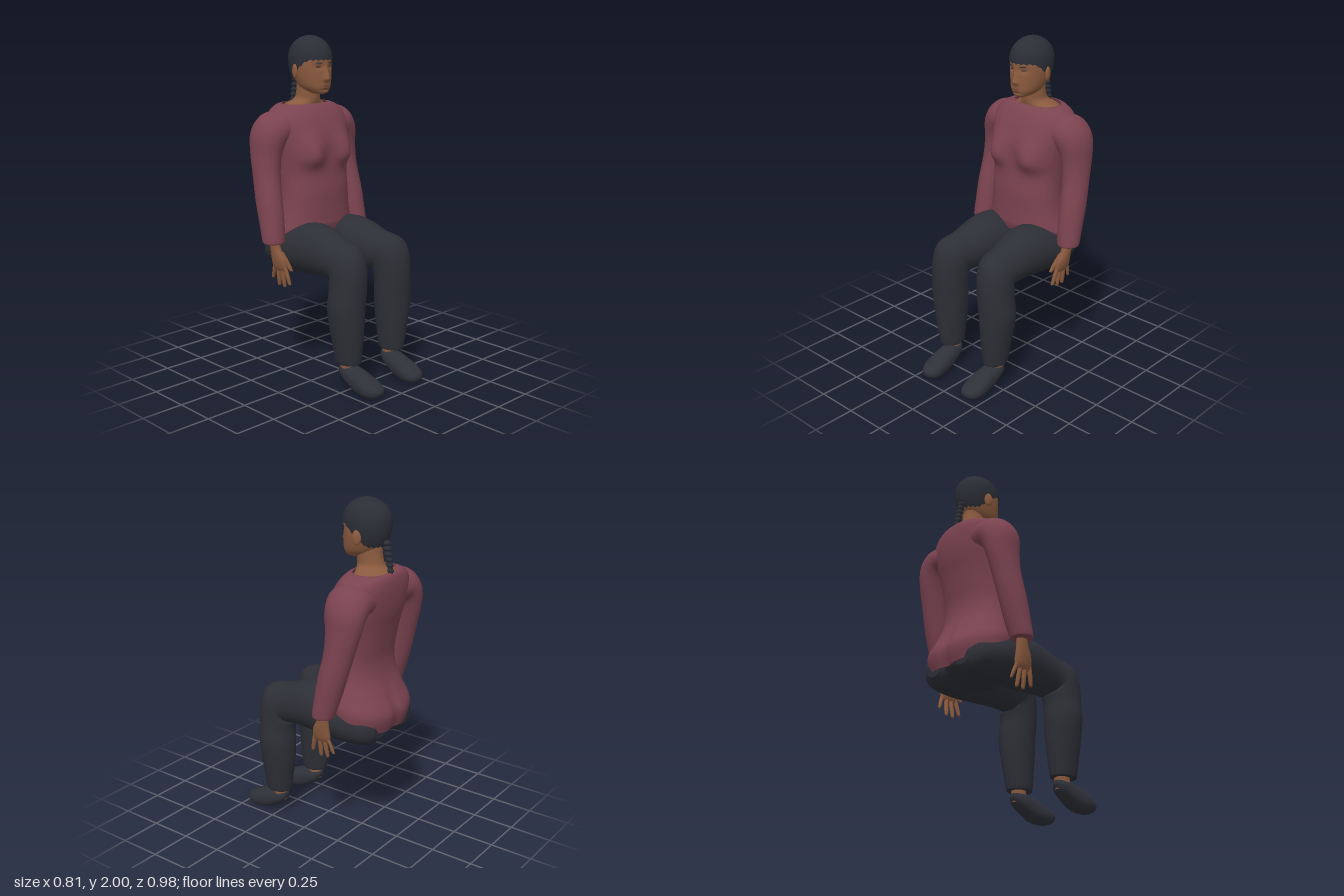
import * as THREE from 'three';

const mat = (name, color, side = THREE.FrontSide) => {
  const m = new THREE.MeshStandardMaterial({ color, side });
  m.name = name;
  return m;
};

// Smooth value of a list of rows at position f (Catmull-Rom)
function sample(rows, f) {
  const i = Math.min(Math.floor(f), rows.length - 2), t = f - i;
  const at = k => rows[Math.max(0, Math.min(rows.length - 1, k))];
  const [a, b, c, d] = [at(i - 1), at(i), at(i + 1), at(i + 2)];
  return b.map((v, k) => v + 0.5 * t * (c[k] - a[k] + t * (2 * a[k] - 5 * v + 4 * c[k] - d[k]
    + t * (3 * (v - c[k]) + d[k] - a[k]))));
}

// Skin over rings [x, y, z, radiusU, radiusV, pitch, roll]; pitch 90 is a level ring
function loft(rings, { seg = 32, sub = 5, n = 2, caps = [true, true], mod } = {}) {
  const rows = rings.map(r => [...r.slice(0, 5), r[5] ?? 90, r[6] ?? 0]);
  const count = (rows.length - 1) * sub, pos = [], idx = [];
  const pw = v => Math.sign(v) * Math.pow(Math.abs(v), 2 / n);
  for (let i = 0; i <= count; i++) {
    const [x, y, z, ru, rv, pd, rd] = sample(rows, i / sub);
    const p = pd * Math.PI / 180, r = rd * Math.PI / 180;
    for (let j = 0; j < seg; j++) {
      const t = j / seg * Math.PI * 2, u = pw(Math.cos(t)) * ru, v = pw(Math.sin(t)) * rv;
      const q = new THREE.Vector3(x + Math.cos(r) * u, y + Math.sin(r) * u + Math.cos(p) * v, z + Math.sin(p) * v);
      if (mod) mod(q, i / count, t);
      pos.push(q.x, q.y, q.z);
      if (i < count) {
        const a = i * seg + j, b = i * seg + (j + 1) % seg;
        idx.push(a, b, a + seg, b, b + seg, a + seg);
      }
    }
  }
  caps.forEach((on, end) => {
    if (!on) return;
    const from = end ? count * seg : 0, base = pos.length / 3, c = [0, 0, 0];
    for (let j = 0; j < seg; j++) for (let k = 0; k < 3; k++) {
      const v = pos[(from + j) * 3 + k];
      pos.push(v);
      c[k] += v / seg;
    }
    pos.push(...c);
    for (let j = 0; j < seg; j++) {
      const a = base + j, b = base + (j + 1) % seg;
      idx.push(base + seg, end ? a : b, end ? b : a);
    }
  });
  const g = new THREE.BufferGeometry();
  g.setAttribute('position', new THREE.Float32BufferAttribute(pos, 3));
  g.setIndex(idx);
  g.computeVertexNormals();
  return g;
}

function mirrored(geo) {
  const g = geo.clone().scale(-1, 1, 1), ix = g.index.array;
  for (let i = 0; i < ix.length; i += 3) [ix[i], ix[i + 1]] = [ix[i + 1], ix[i]];
  g.computeVertexNormals();
  return g;
}

const blob = (x, y, z, rx, ry, rz, yaw = 0) =>
  new THREE.SphereGeometry(1, 24, 16).scale(rx, ry, rz).rotateY(yaw).translate(x, y, z);
const bell = (v, w) => Math.exp(-(v / w) * (v / w));

export function createModel() {
  const model = new THREE.Group();
  const sweater = mat('sweater red', 0x7b4350, THREE.DoubleSide);
  const cloth = mat('trouser charcoal', 0x2d2f36);
  const shoe = mat('shoe charcoal', 0x2f3139);
  const hair = mat('hair black', 0x2b2e36, THREE.DoubleSide);
  const skin = mat('skin brown', 0x8a5a3e);
  const lip = mat('lip brown', 0x774638);
  const add = (name, geo, m) => {
    const mesh = new THREE.Mesh(geo, m);
    mesh.name = name;
    model.add(mesh);
  };
  const pair = (name, geo, m) => {
    add(name + 'Left', geo, m);
    add(name + 'Right', mirrored(geo), m);
  };

  // Sweater body: collar down to the slanted hem, with bust and seat shaping
  add('sweaterBody', loft([
    [0, 1.605, -.315, .15, .103], [0, 1.6, -.315, .185, .122], [0, 1.565, -.307, .245, .143],
    [0, 1.5, -.292, .27, .162], [0, 1.4, -.273, .25, .172], [0, 1.3, -.26, .235, .16],
    [0, 1.2, -.245, .226, .155], [0, 1.1, -.233, .226, .153], [0, 1, -.24, .237, .16],
    [0, .92, -.262, .257, .184, 84], [0, .85, -.285, .277, .212, 76], [0, .78, -.28, .272, .205, 67],
  ], {
    seg: 64, n: 2.25, caps: [false, true], mod: q => {
      const x = Math.abs(q.x);
      if (q.z > -.22) q.z += .058 * bell(x - .13, .08) * bell(q.y - 1.31, q.y > 1.31 ? .11 : .06);
      if (q.z < -.36 && q.y < 1) q.z += .02 * bell(x, .035) * Math.min(1, (1 - q.y) / .15);
    },
  }), sweater);

  // Sleeves
  pair('sleeve', loft([
    [.15, 1.475, -.31, .1, .12, 90, 82], [.235, 1.47, -.312, .105, .128, 90, 62],
    [.283, 1.415, -.318, .097, .122, 90, 30], [.3, 1.32, -.318, .081, .105, 90, 8],
    [.312, 1.2, -.3, .075, .09, 90, 3], [.325, 1.05, -.265, .074, .085],
    [.331, .92, -.235, .071, .075], [.338, .835, -.216, .066, .066], [.338, .82, -.215, .06, .06],
  ]), sweater);

  // Hands: palm, four spread fingers and a thumb
  pair('palm', loft([
    [.335, .85, -.212, .028, .032], [.333, .79, -.205, .026, .037], [.325, .73, -.19, .026, .055],
    [.317, .68, -.187, .021, .058], [.314, .655, -.187, .01, .045],
  ], { seg: 20 }), skin);
  const digits = [
    [[.32, .695, -.142], [.304, .575, -.115], .013], [[.318, .685, -.172], [.297, .55, -.168], .013],
    [[.318, .685, -.202], [.297, .553, -.215], .013], [[.32, .69, -.23], [.305, .59, -.262], .011],
    [[.322, .77, -.165], [.287, .655, -.118], .015],
  ];
  digits.forEach(([a, b, r], i) => pair(i < 4 ? 'finger' + (i + 1) : 'thumb', loft(
    [[0, .8], [.45, 1], [.85, .85], [.97, .6], [1, .1]].map(([t, s]) =>
      [...a.map((v, k) => v + (b[k] - v) * t), r * s, r * s]), { seg: 12, sub: 3 }), skin));

  // Trousers: seat and two bent legs
  add('trouserSeat', blob(0, .735, -.25, .22, .11, .2), cloth);
  pair('trouserLeg', loft([
    [.12, .72, -.45, .06, .045, 0], [.133, .73, -.4, .12, .1, 0], [.15, .757, -.25, .147, .137, 0],
    [.15, .78, -.08, .146, .152, 0], [.152, .777, .05, .132, .143, 0], [.162, .754, .16, .115, .124, 8],
    [.175, .732, .228, .11, .13, 45], [.184, .61, .245, .107, .111, 88], [.192, .5, .24, .108, .111],
    [.188, .38, .24, .095, .106], [.183, .27, .243, .08, .094], [.18, .18, .245, .068, .082],
    [.18, .168, .245, .06, .074],
  ]), cloth);

  // Ankles and slip-on shoes with raised heels
  pair('ankle', loft([[.177, .2, .235, .042, .045], [.175, .1, .24, .042, .045]]), skin);
  pair('shoe', loft([
    [.175, .135, .186, .015, .012, 0], [.175, .118, .212, .045, .038, 0], [.172, .1, .26, .055, .057, 0],
    [.17, .074, .33, .062, .067, 0], [.168, .056, .4, .068, .056, 0], [.165, .046, .45, .06, .041, 0],
    [.163, .045, .482, .036, .024, 0], [.163, .045, .492, .012, .008, 0],
  ], { n: 2.3 }), shoe);

  // Neck
  add('neck', loft([
    [0, 1.76, -.275, .066, .07], [0, 1.68, -.28, .066, .075], [0, 1.63, -.29, .074, .082],
    [0, 1.6, -.313, .13, .098], [0, 1.57, -.315, .16, .11],
  ]), skin);

  // Head with nose, eye sockets, lips and chin pushed out of the surface
  add('head', loft([
    [0, 1.95, -.25, .06, .07], [0, 1.92, -.252, .088, .11], [0, 1.88, -.254, .104, .13],
    [0, 1.82, -.253, .107, .131], [0, 1.76, -.241, .099, .119], [0, 1.71, -.222, .083, .1],
    [0, 1.68, -.198, .056, .07], [0, 1.667, -.185, .03, .042],
  ], {
    seg: 96, sub: 8, n: 2.1, mod: q => {
      if (q.z < -.2) return;
      const x = Math.abs(q.x), up = q.y - 1.755;
      q.z += .026 * bell(x, .013 + .007 * bell(up, .02)) * (up > 0 ? bell(up, .055) : bell(up, .013));
      q.z -= .011 * bell(x - .043, .025) * bell(q.y - 1.825, .016);
      q.z -= .006 * bell(x, .04) * bell(q.y - 1.69, .008);
    },
  }), skin);
  pair('ear', blob(.114, 1.797, -.268, .012, .043, .026, .3), skin);
  pair('eye', blob(.043, 1.825, -.144, .017, .004, .008, .35), hair);
  pair('eyebrow', blob(.045, 1.847, -.134, .022, .003, .006, .35), hair);
  add('upperLip', blob(0, 1.717, -.127, .025, .006, .011), lip);
  add('lowerLip', blob(0, 1.705, -.129, .021, .006, .011), lip);

  // Hair cap: dome whose hem drops from the forehead to the nape
  add('hairCap', loft([[0, 2, -.26, .1, .1], [0, 1.8, -.26, .1, .1]], {
    seg: 96, sub: 24, caps: [true, false], mod: (q, s, t) => {
      const around = Math.acos(Math.max(-1, Math.min(1, Math.sin(t))));
      const hem = 1.864 - .12 * THREE.MathUtils.smoothstep(around, .8, 2.2) + .004 * Math.sin(t * 24);
      const low = h => h < 1.87 ? .2 : .13;
      const theta = .03 + s * (Math.acos((hem - 1.87) / low(hem)) - .03);
      const c = Math.cos(theta), r = Math.sin(theta);
      q.set(.117 * r * Math.cos(t), 1.87 + (c > 0 ? .13 : .2) * c, -.26 + .144 * r * Math.sin(t));
    },
  }), hair);

  // Braided ponytail: alternating thick and thin rings
  const braid = [[0, 1.79, -.365, .012, .012]];
  for (let i = 0; i <= 12; i++) {
    const f = i / 12, r = (i % 2 ? .017 : .025) * (1 - .3 * f);
    braid.push([0, 1.765 - .18 * f, -.385 - .037 * f, r, r]);
  }
  braid.push([0, 1.568, -.425, .004, .004]);
  add('ponytail', loft(braid, { seg: 16, sub: 3 }), hair);

  return model;
}
